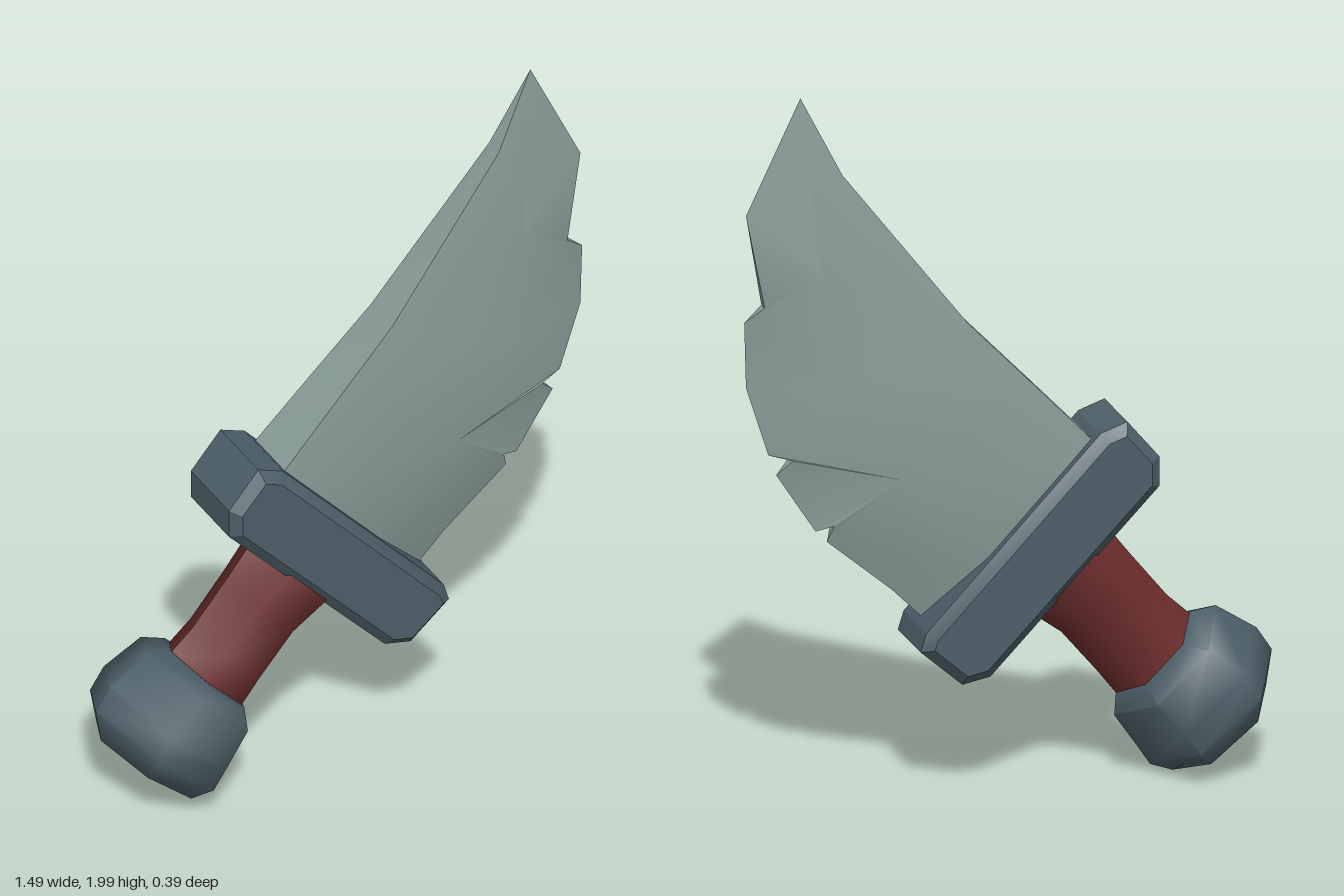
import * as THREE from 'three';
import { toCreasedNormals } from 'three/addons/utils/BufferGeometryUtils.js';

const steel = new THREE.MeshStandardMaterial({ color: 0x4d5f68 });
steel.name = 'dark steel';
const leather = new THREE.MeshStandardMaterial({ color: 0x6b2c2c });
leather.name = 'red grip';
const bladeMetal = new THREE.MeshStandardMaterial({ color: 0x8a9d99 });
bladeMetal.name = 'pale blade';

// Collects triangles, dropping those with no area
function triangleSoup() {
  const pos = [];
  const tri = (a, b, c) => {
    const t = new THREE.Triangle(a, b, c);
    if (t.getArea() > 1e-7) for (const p of [a, b, c]) pos.push(p.x, p.y, p.z);
  };
  const build = (crease) => {
    const g = new THREE.BufferGeometry();
    g.setAttribute('position', new THREE.Float32BufferAttribute(pos, 3));
    return toCreasedNormals(g, crease);
  };
  return { tri, build };
}

function addMesh(group, name, geometry, material) {
  const mesh = new THREE.Mesh(geometry, material);
  mesh.name = name;
  group.add(mesh);
}

// Six-sided loft; each ring is [left x, left y, right x, right y], from the bottom up
function hexLoft(rings, depth = 1) {
  const { tri, build } = triangleSoup();
  const loops = rings.map(([ax, ay, bx, by]) => {
    const cx = (ax + bx) / 2, cy = (ay + by) / 2;
    const r = Math.hypot(bx - ax, by - ay) / 2;
    return Array.from({ length: 6 }, (_, k) => {
      const c = Math.cos(k * Math.PI / 3), s = Math.sin(k * Math.PI / 3);
      return new THREE.Vector3(cx + (bx - cx) * c, cy + (by - cy) * c, r * s * depth);
    });
  });
  for (let j = 0; j + 1 < loops.length; j++) {
    for (let i = 0; i < 6; i++) {
      const n = (i + 1) % 6, a = loops[j], b = loops[j + 1];
      tri(a[i], b[i], a[n]);
      tri(a[n], b[i], b[n]);
    }
  }
  const top = loops[loops.length - 1];
  for (let i = 1; i < 5; i++) {
    tri(loops[0][0], loops[0][i], loops[0][i + 1]);
    tri(top[0], top[i + 1], top[i]);
  }
  return build(1.1);
}

// Blade: flat cheeks from spine to ridge, then a bevel down to the chipped edge
function bladeGeometry() {
  const { tri, build } = triangleSoup();
  const tip = [0.585, 2, 0];
  // x, y, half thickness
  const spine = [[-0.27, 0.93, 0.088], [-0.05, 1.157, 0.074], [0.13, 1.341, 0.062], [0.474, 1.78, 0.028], tip];
  const ridge = [[0.04, 0.65, 0.088], [0.32, 0.92, 0.08], [0.47, 1.19, 0.068], [0.54, 1.5, 0.047], tip];
  // x, y, half thickness, index of the ridge point it fans from
  const edge = [
    [0.22, 0.48, 0, 0], [0.325, 0.585, 0, 0],
    [0.51, 0.738, 0, 1], [0.495, 0.786, 0.018, 1], [0.542, 0.77, 0, 1],
    [0.653, 0.939, 0, 1], [0.611, 0.981, 0.02, 1], [0.675, 0.997, 0, 2],
    [0.738, 1.193, 0, 2], [0.743, 1.378, 0, 3], [0.69, 1.42, 0.016, 3],
    [0.738, 1.68, 0, 3], [...tip, 4],
  ];
  for (const side of [1, -1]) {
    const v = (p) => new THREE.Vector3(p[0], p[1], p[2] * side);
    const face = (a, b, c) => (side > 0 ? tri(v(a), v(b), v(c)) : tri(v(a), v(c), v(b)));
    for (let i = 0; i < 4; i++) {
      face(spine[i], ridge[i], ridge[i + 1]);
      face(spine[i], ridge[i + 1], spine[i + 1]);
    }
    for (let i = 0; i + 1 < edge.length; i++) {
      const a = edge[i], b = edge[i + 1];
      face(ridge[a[3]], a, b);
      if (a[3] !== b[3]) face(ridge[a[3]], b, ridge[b[3]]);
    }
  }
  // Spine face and notch walls close the gap between the two sides
  const rim = [...edge, ...spine.slice(0, 4).reverse()];
  for (let i = 0; i + 1 < rim.length; i++) {
    const [a, b] = [rim[i], rim[i + 1]];
    const at = (p, s) => new THREE.Vector3(p[0], p[1], p[2] * s);
    tri(at(a, 1), at(a, -1), at(b, -1));
    tri(at(a, 1), at(b, -1), at(b, 1));
  }
  return build(0.45);
}

// Crossguard: clipped bar with chamfered edges
function guardGeometry() {
  const outline = [
    [-0.394, 0.85], [0.082, 0.352], [0.161, 0.336], [0.278, 0.437],
    [0.262, 0.489], [-0.23, 1.013], [-0.304, 1.04], [-0.394, 0.934],
  ].map(([x, y]) => new THREE.Vector2(x, y));
  const g = new THREE.ExtrudeGeometry(new THREE.Shape(outline), {
    depth: 0.22, bevelEnabled: true, bevelThickness: 0.028,
    bevelSize: 0.028, bevelOffset: -0.028, bevelSegments: 1,
  });
  g.translate(0, 0, -0.11);
  return toCreasedNormals(g, 0.4);
}

export function createModel() {
  const group = new THREE.Group();
  group.name = 'dagger';

  addMesh(group, 'blade', bladeGeometry(), bladeMetal);
  addMesh(group, 'guard', guardGeometry(), steel);
  addMesh(group, 'grip', hexLoft([
    [-0.53, 0.43, -0.32, 0.22],
    [-0.447, 0.505, -0.25, 0.308],
    [-0.34, 0.635, -0.15, 0.426],
    [-0.267, 0.728, -0.04, 0.505],
    [-0.21, 0.78, 0.01, 0.55],
  ], 0.88), leather);
  addMesh(group, 'pommel', hexLoft([
    [-0.727, 0.225, -0.463, 0.008],
    [-0.743, 0.325, -0.4, 0.03],
    [-0.7, 0.39, -0.36, 0.09],
    [-0.585, 0.463, -0.299, 0.177],
    [-0.516, 0.452, -0.304, 0.24],
  ]), steel);
  return group;
}
